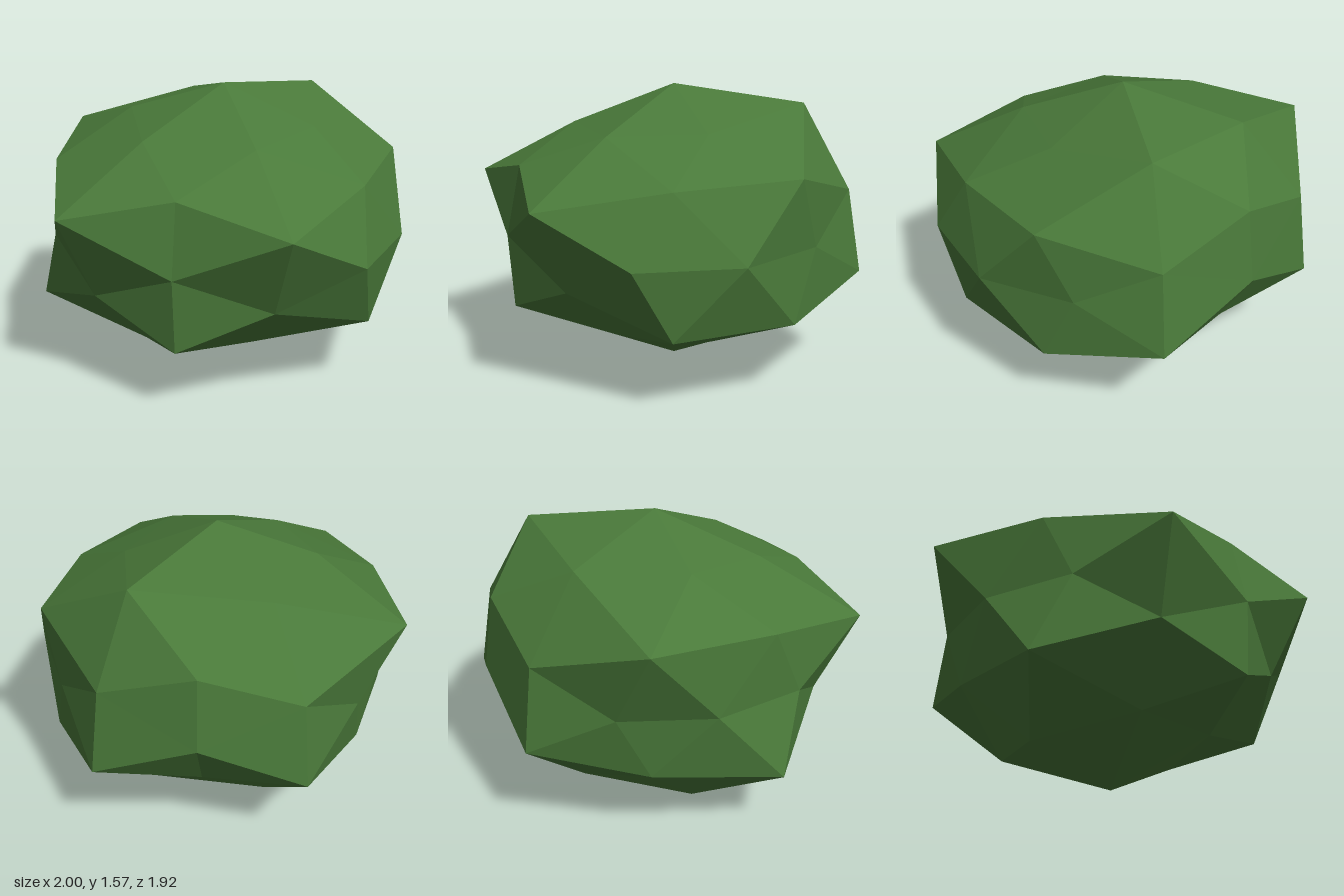
import * as THREE from 'three';

// Radius of each bush corner, grouped by its family of directions on the sphere.
// Within a family the order counts through the signs of the non-zero axes: +++, ++-, +-+ ...
const RADII = {
  '10,0,0': [1.0, 0.93],
  '0,10,0': [1.107, 1.136],
  '0,0,10': [0.95, 0.965],
  '5,9,0': [0.95, 0.94, 1.02, 1.13],
  '0,5,9': [1.025, 1.07, 1.085, 0.9],
  '9,0,5': [1.04, 0.92, 0.95, 0.925],
  '5,3,8': [1.18, 1.02, 0.935, 1.1, 1.18, 1.035, 0.955, 1.1],
  '3,8,5': [0.97, 1.21, 0.92, 1.01, 0.97, 1.1, 0.985, 1.045],
  '8,5,3': [1.02, 1.105, 1.09, 1.07, 1.06, 1.236, 1.18, 1.0],
};
const SQUASH = 0.7;
const CENTRE_Y = 0.795;

function radiusFor(v) {
  const axes = v.toArray();
  const family = axes.map((c) => Math.round(Math.abs(c) * 10)).join(',');
  const index = axes
    .filter((c) => Math.abs(c) > 0.01)
    .reduce((i, c) => i * 2 + (c < 0 ? 1 : 0), 0);
  return RADII[family][index];
}

export function createModel() {
  const group = new THREE.Group();
  group.name = 'bush';

  const leafGreen = new THREE.MeshStandardMaterial({ color: 0x4a7a3a });
  leafGreen.name = 'leafGreen';
  leafGreen.flatShading = true;

  // Faceted ball with each corner pushed in or out, then flattened
  const geometry = new THREE.IcosahedronGeometry(1, 1);
  const position = geometry.attributes.position;
  const v = new THREE.Vector3();
  for (let i = 0; i < position.count; i++) {
    v.fromBufferAttribute(position, i).normalize();
    v.multiplyScalar(radiusFor(v));
    position.setXYZ(i, v.x, v.y * SQUASH + CENTRE_Y, v.z);
  }
  geometry.computeVertexNormals();

  const foliage = new THREE.Mesh(geometry, leafGreen);
  foliage.name = 'foliage';
  group.add(foliage);
  return group;
}
